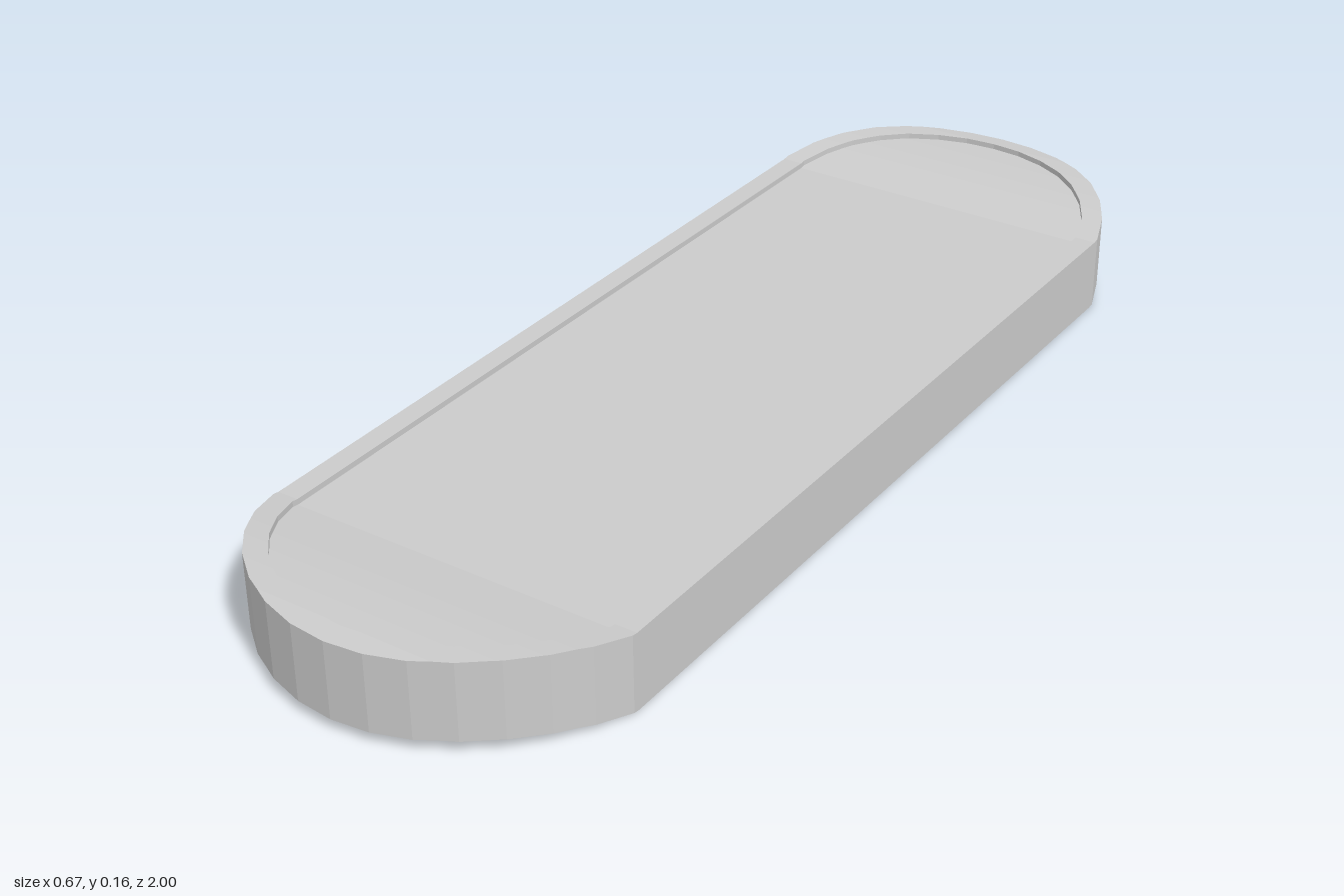
import * as THREE from 'three';

const SEGS = 7;
// half outline of a rounded end: [z, half width], straight side then a faceted arc
function endOutline(radius, halfWidth) {
  const start = Math.acos(halfWidth / radius), pts = [];
  for (let i = 0; i <= SEGS; i++) {
    const a = start + (Math.PI / 2 - start) * i / SEGS;
    pts.push([0.658 + radius * Math.sin(a), i === SEGS ? 0 : radius * Math.cos(a)]);
  }
  return pts;
}

// piecewise linear lookup on |z|, held constant outside the table
function lookup(table, z) {
  z = Math.abs(z);
  if (z <= table[0][0]) return table[0][1];
  for (let i = 1; i < table.length; i++) {
    const [z0, v0] = table[i - 1], [z1, v1] = table[i];
    if (z <= z1) return v0 + (v1 - v0) * (z - z0) / (z1 - z0);
  }
  return table[table.length - 1][1];
}

const outer = endOutline(0.342, 0.333);
const inner = endOutline(0.305, 0.295);
const lift = [[0.725, 0], [0.82, 0.016], [0.86, 0.0205], [0.91, 0.0242], [0.96, 0.0242], [1, 0.02]];
const THICK = 0.134, RECESS = 0.01;

// all cross-section positions along the board
const half = [...outer, ...inner, ...lift].map(p => p[0]).sort((a, b) => a - b)
  .filter((z, i, all) => i === 0 || z - all[i - 1] > 1e-5);
const stations = [...half.map(z => -z).reverse(), ...half];

// strip between two rails; each rail maps z to [x, y]
function strip(name, railA, railB) {
  const pos = [];
  for (let i = 0; i < stations.length - 1; i++) {
    const [z0, z1] = [stations[i], stations[i + 1]];
    const a0 = [...railA(z0), z0], a1 = [...railA(z1), z1];
    const b0 = [...railB(z0), z0], b1 = [...railB(z1), z1];
    pos.push(...a0, ...a1, ...b1, ...a0, ...b1, ...b0);
  }
  const geo = new THREE.BufferGeometry();
  geo.setAttribute('position', new THREE.Float32BufferAttribute(pos, 3));
  geo.computeVertexNormals();
  const mesh = new THREE.Mesh(geo, new THREE.MeshStandardMaterial({ color: 0xcccccc, flatShading: true }));
  mesh.name = name;
  return mesh;
}

export function createModel() {
  const group = new THREE.Group();
  group.name = 'deck';
  const rail = (outline, side, y) => z => [side * lookup(outline, z), y + lookup(lift, z)];
  const floor = THICK - RECESS;

  // underside and recessed top panel
  group.add(strip('underside', rail(outer, 1, 0), rail(outer, -1, 0)));
  group.add(strip('topPanel', rail(inner, -1, floor), rail(inner, 1, floor)));

  // mirrored edge wall, rim and inner step
  for (const [side, label] of [[1, 'left'], [-1, 'right']]) {
    const add = (name, a, b) => group.add(side > 0 ? strip(name, a, b) : strip(name, b, a));
    add(label + 'EdgeWall', rail(outer, side, THICK), rail(outer, side, 0));
    add(label + 'Rim', rail(inner, side, THICK), rail(outer, side, THICK));
    add(label + 'RimStep', rail(inner, side, floor), rail(inner, side, THICK));
  }
  return group;
}
